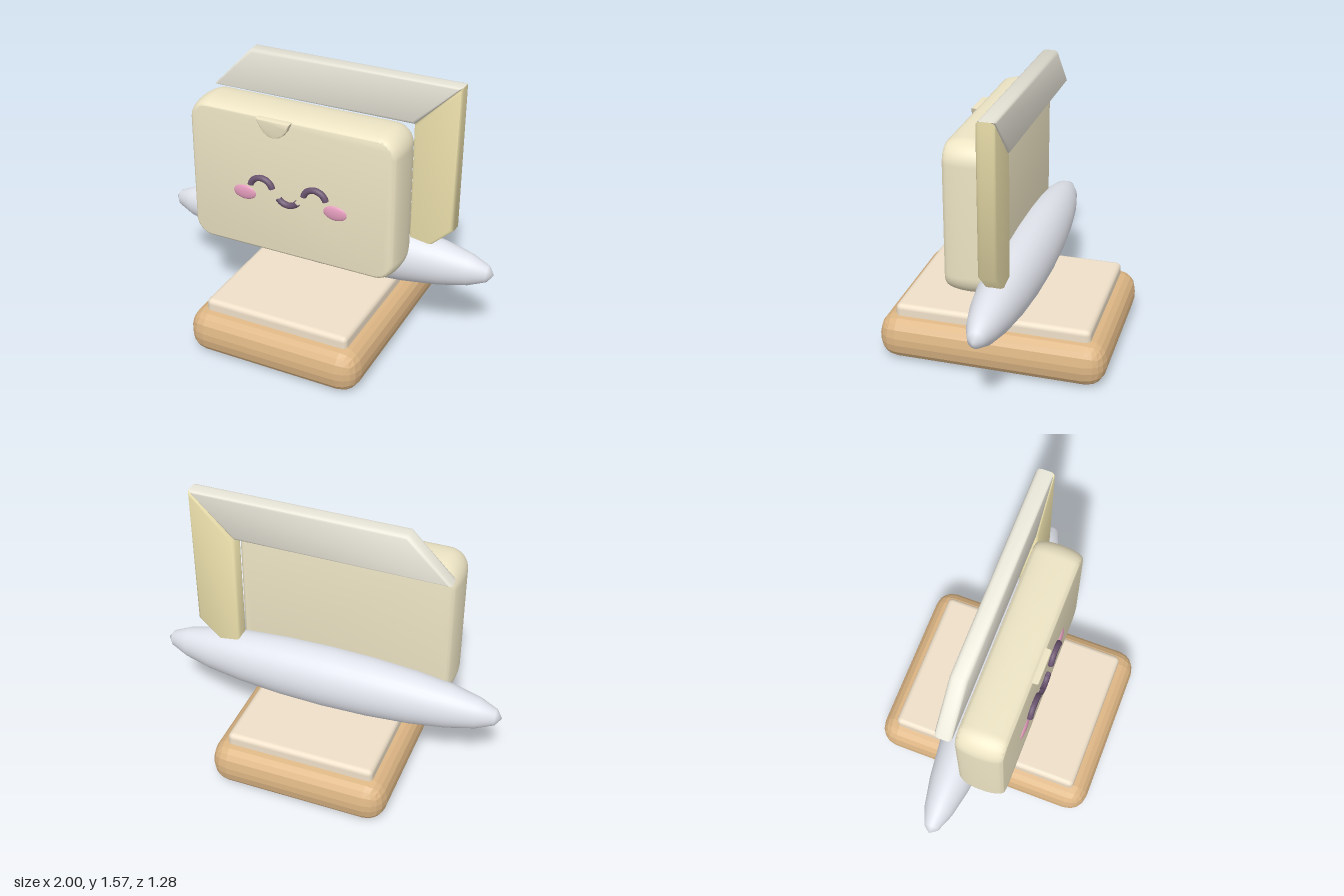
import * as THREE from 'three';
import { mergeVertices, toCreasedNormals } from 'three/addons/utils/BufferGeometryUtils.js';
import { RoundedBoxGeometry } from 'three/addons/geometries/RoundedBoxGeometry.js';

const COLORS = {
  wood: 0xdcb584, cream: 0xeedfc8, cushion: 0xe0e3eb, body: 0xede4c4,
  lid: 0xe8e5d8, side: 0xece0ac, ink: 0x6b5470, blush: 0xe39cbc,
};

function mat(color, extra = {}) {
  return new THREE.MeshStandardMaterial({ color, ...extra });
}

function add(group, name, geometry, material, x = 0, y = 0, z = 0) {
  const mesh = new THREE.Mesh(geometry, material);
  mesh.name = name;
  mesh.position.set(x, y, z);
  group.add(mesh);
  return mesh;
}

// Extrude an outline between z0 and z1, with the bevel kept inside the outline
function slab(shape, z0, z1, bevelThickness, bevelSize, bevelSegments, crease) {
  const g = new THREE.ExtrudeGeometry(shape, {
    depth: z1 - z0 - 2 * bevelThickness, bevelThickness, bevelSize,
    bevelOffset: -bevelSize, bevelSegments, curveSegments: 8,
  });
  g.translate(0, 0, z0 + bevelThickness);
  g.deleteAttribute('normal');
  g.deleteAttribute('uv');
  return toCreasedNormals(mergeVertices(g, 1e-4), crease);
}

function roundedRect(x0, y0, x1, y1, r) {
  const s = new THREE.Shape();
  s.absarc(x1 - r, y0 + r, r, -Math.PI / 2, 0);
  s.absarc(x1 - r, y1 - r, r, 0, Math.PI / 2);
  s.absarc(x0 + r, y1 - r, r, Math.PI / 2, Math.PI);
  s.absarc(x0 + r, y0 + r, r, Math.PI, Math.PI * 1.5);
  s.closePath();
  return s;
}

function polygon(points) {
  return new THREE.Shape(points.map(([x, y]) => new THREE.Vector2(x, y)));
}

// Curved stroke: part of a torus around the +y direction, flipped for a smile
function stroke(radius, halfAngle, flip) {
  const g = new THREE.TorusGeometry(radius, 0.018, 8, 14, halfAngle * 2);
  g.rotateZ(Math.PI / 2 - halfAngle + (flip ? Math.PI : 0));
  return g;
}

export function createModel() {
  const model = new THREE.Group();
  model.name = 'boxOnStand';

  // Stand: chunky block with a thin plate on top
  add(model, 'standBase', new RoundedBoxGeometry(1.02, 0.26, 1.28, 2, 0.11),
    mat(COLORS.wood, { flatShading: true }), 0, 0.13, 0);
  add(model, 'standPlate', new RoundedBoxGeometry(0.85, 0.1, 1.1, 2, 0.03),
    mat(COLORS.cream), 0, 0.27, 0);

  // Long flattened cushion with its poles on the x axis
  const cushion = new THREE.SphereGeometry(1, 32, 12).rotateZ(Math.PI / 2);
  cushion.scale(1, 0.182, 0.16);
  add(model, 'cushion', cushion, mat(COLORS.cushion), 0, 0.512, -0.09);

  // Front panel of the box, gently bulging along its rim
  add(model, 'boxFront',
    slab(roundedRect(-0.69, 0.49, 0.55, 1.35, 0.12), -0.04, 0.22, 0.125, 0.035, 8, 1.0),
    mat(COLORS.body));

  // Slanted plates for the top and the side of the box
  add(model, 'boxTop',
    slab(polygon([[-0.68, 1.32], [0.52, 1.32], [0.77, 1.57], [-0.44, 1.57]]),
      -0.14, -0.045, 0.025, 0.02, 3, 1.2),
    mat(COLORS.lid));
  add(model, 'boxSide',
    slab(polygon([[0.52, 0.51], [0.77, 0.745], [0.77, 1.57], [0.52, 1.32]]),
      -0.14, -0.04, 0.025, 0.02, 3, 1.2),
    mat(COLORS.side));

  // Half-round tab at the top of the front
  const tab = new THREE.Shape();
  tab.moveTo(-0.25, 1.325);
  tab.bezierCurveTo(-0.21, 1.19, -0.09, 1.19, -0.05, 1.325);
  tab.closePath();
  add(model, 'tab', slab(tab, 0.2, 0.25, 0.01, 0.008, 2, 0.7), mat(COLORS.body));

  // Face
  const face = new THREE.Group();
  face.name = 'face';
  model.add(face);
  const ink = mat(COLORS.ink, { side: THREE.DoubleSide });
  const blush = mat(COLORS.blush);
  [[-0.235, -0.345, 'right'], [0.085, 0.2, 'left']].forEach(([eyeX, cheekX, label]) => {
    add(face, `${label}Eye`, stroke(0.068, 1.3, false), ink, eyeX, 0.897, 0.232);
    add(face, `${label}Cheek`, new THREE.SphereGeometry(1, 24, 12), blush, cheekX, 0.85, 0.218)
      .scale.set(0.07, 0.043, 0.015);
  });
  add(face, 'mouth', stroke(0.07, 0.95, true), ink, -0.073, 0.907, 0.232);

  return model;
}
